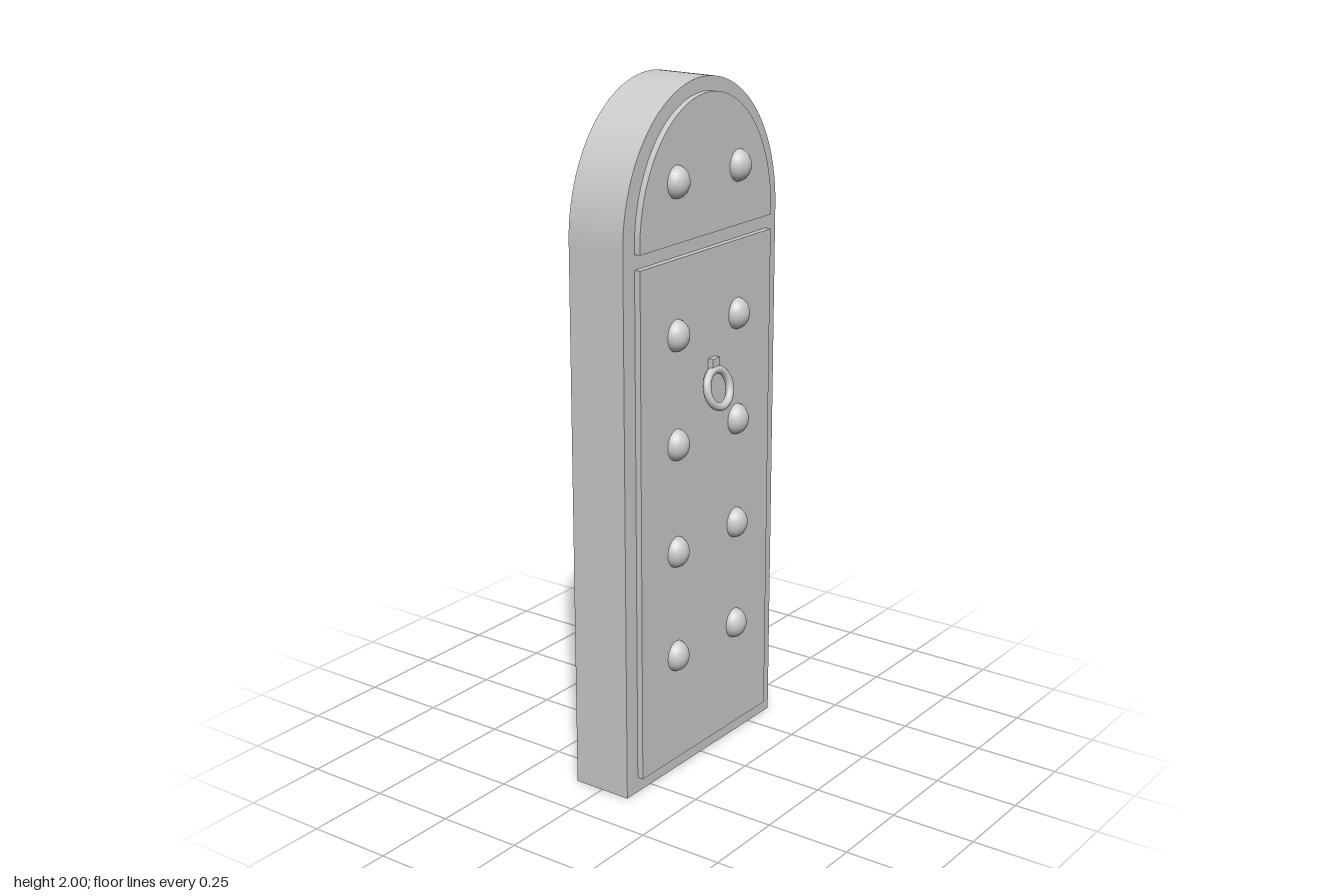
import * as THREE from 'three';
import { toCreasedNormals } from 'three/addons/utils/BufferGeometryUtils.js';

const material = new THREE.MeshStandardMaterial({ color: 0xcccccc });

function part(name, geometry, parent, x = 0, y = 0, z = 0) {
  const mesh = new THREE.Mesh(geometry, material);
  mesh.name = name;
  mesh.position.set(x, y, z);
  parent.add(mesh);
  return mesh;
}

// Flat-bottomed outline closed by a half-ellipse arch
function archGeometry(halfWidth, bottom, spring, top, depth) {
  const shape = new THREE.Shape();
  shape.moveTo(-halfWidth, bottom);
  shape.lineTo(halfWidth, bottom);
  shape.lineTo(halfWidth, spring);
  shape.absellipse(0, spring, halfWidth, top - spring, 0, Math.PI, false, 0);
  shape.closePath();
  const geometry = new THREE.ExtrudeGeometry(shape, { depth, bevelEnabled: false, curveSegments: 40 });
  return toCreasedNormals(geometry, 0.5);
}

// Raised panels, studs and ring pull for one side of the door
function createFace(name) {
  const face = new THREE.Group();
  face.name = name;

  part('lowerPanel', new THREE.BoxGeometry(0.62, 1.485, 0.04), face, 0, 0.7875, 0.088);
  part('archPanel', archGeometry(0.31, 1.572, 1.59, 1.96, 0.04), face, 0, 0, 0.068);

  // Domed studs in two columns
  const stud = new THREE.SphereGeometry(0.041, 24, 12, 0, Math.PI * 2, 0, Math.PI / 2);
  stud.rotateX(Math.PI / 2);
  stud.scale(1, 1.12, 0.95);
  for (const y of [0.37, 0.688, 1.005, 1.318, 1.74]) {
    for (const x of [-0.147, 0.143]) part('stud', stud, face, x, y, 0.105);
  }

  // Ring hanging outward from a small bracket
  part('ringBracket', new THREE.BoxGeometry(0.034, 0.035, 0.018), face, 0.02, 1.2, 0.115);
  const ring = part('pullRing', new THREE.TorusGeometry(0.053, 0.012, 12, 36), face, 0.02, 1.132, 0.132);
  ring.rotation.x = -0.25;
  return face;
}

export function createModel() {
  const door = new THREE.Group();
  door.name = 'archedDoor';

  part('doorSlab', archGeometry(0.36, 0, 1.59, 2, 0.18), door, 0, 0, -0.09);

  const front = createFace('frontFace');
  const back = createFace('backFace');
  back.rotation.y = Math.PI;
  back.position.x = -0.003;
  door.add(front, back);
  return door;
}
